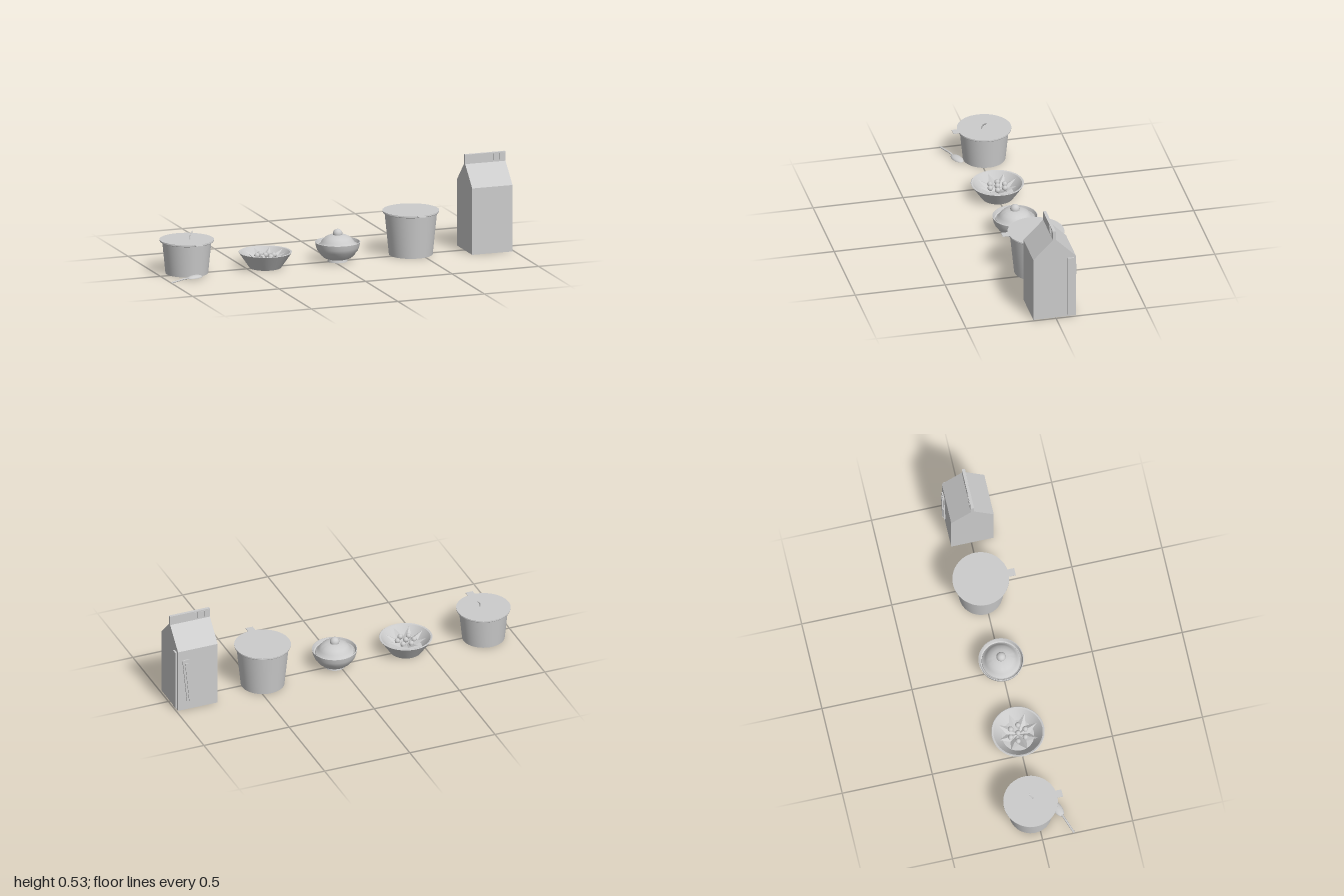
import * as THREE from 'three';
import { toCreasedNormals } from 'three/addons/utils/BufferGeometryUtils.js';

export function createModel() {
  const root = new THREE.Group();
  const grey = new THREE.MeshStandardMaterial({ color: 0xcccccc, side: THREE.DoubleSide });
  grey.name = 'plain grey';

  const group = (name, x = 0, z = 0) => {
    const g = new THREE.Group();
    g.name = name;
    g.position.set(x, 0, z);
    root.add(g);
    return g;
  };
  const add = (parent, name, geo, x = 0, y = 0, z = 0) => {
    const m = new THREE.Mesh(geo, grey);
    m.name = name;
    m.position.set(x, y, z);
    parent.add(m);
    return m;
  };
  const lathe = (pts) => toCreasedNormals(
    new THREE.LatheGeometry(pts.map(p => new THREE.Vector2(...p)), 48), 0.5);
  const box = (w, h, d) => new THREE.BoxGeometry(w, h, d);

  // Tapered pot with rolled rim, flat lid and pull tab
  function pot(name, x, z, h, rBottom, rTop, rLid, tabX, tabEnd) {
    const g = group(name, x, z);
    add(g, 'potBody', lathe([[0, 0.006], [rBottom - 0.006, 0.006], [rBottom - 0.004, 0],
      [rBottom, 0], [rTop, h - 0.006]]));
    const rim = new THREE.TorusGeometry(rLid - 0.006, 0.005, 8, 48);
    rim.rotateX(Math.PI / 2);
    add(g, 'potRim', rim, 0, h - 0.005, 0);
    add(g, 'lid', new THREE.CylinderGeometry(rLid, rLid, 0.003, 48), 0, h + 0.0005, 0);
    const start = rLid - 0.02;
    add(g, 'pullTab', box(0.042, 0.003, tabEnd - start), tabX, h + 0.0005, (start + tabEnd) / 2);
    return g;
  }
  pot('largePot', 0.454, -0.016, 0.243, 0.119, 0.143, 0.154, 0, 0.19);
  const small = pot('smallPot', -0.836, -0.03, 0.185, 0.116, 0.134, 0.148, 0.01, 0.178);

  // Curled strand rising from the small lid
  const curl = new THREE.CatmullRomCurve3([[0.012, 0.184, 0.018], [0.014, 0.202, 0.014],
    [0.021, 0.217, 0.006], [0.034, 0.228, -0.003]].map(p => new THREE.Vector3(...p)));
  add(small, 'curl', new THREE.TubeGeometry(curl, 16, 0.003, 8));

  // Spoon lying face down beside the small pot
  const spoon = group('spoon', -0.845, 0.118);
  spoon.rotation.y = 0.36;
  const dome = new THREE.SphereGeometry(1, 24, 10, 0, Math.PI * 2, 0, Math.PI / 2);
  dome.scale(0.05, 0.014, 0.026);
  add(spoon, 'spoonBowl', dome, 0, 0.006, 0);
  const handle = new THREE.CatmullRomCurve3([[-0.044, 0.010, 0], [-0.075, 0.013, 0],
    [-0.12, 0.007, 0], [-0.163, 0.003, 0]].map(p => new THREE.Vector3(...p)));
  const handleGeo = new THREE.TubeGeometry(handle, 16, 0.006, 8);
  handleGeo.scale(1, 0.7, 1);
  add(spoon, 'spoonHandle', handleGeo, 0, 0.002, 0);

  // Flared open bowl
  const salad = group('openBowl', -0.393, 0);
  add(salad, 'bowl', lathe([[0, 0], [0.086, 0], [0.145, 0.086], [0.142, 0.088],
    [0.134, 0.086], [0.088, 0.026], [0, 0.026]]));

  // Ring of folded leaves with berries
  const leaf = new THREE.BufferGeometry();
  leaf.setAttribute('position', new THREE.Float32BufferAttribute([
    0, 0.045, 0.005, -0.025, 0.050, 0.055, 0, 0.066, 0.058, 0.025, 0.050, 0.055, 0, 0.088, 0.112], 3));
  leaf.setIndex([0, 1, 2, 0, 2, 3, 1, 4, 2, 2, 4, 3]);
  const leafGeo = toCreasedNormals(leaf, 0.2);
  for (let i = 0; i < 8; i++) {
    add(salad, 'leaf', leafGeo).rotation.y = (i + 0.3) * Math.PI / 4;
  }
  const berry = new THREE.SphereGeometry(0.015, 14, 10);
  add(salad, 'berry', berry, 0, 0.068, 0);
  for (let i = 0; i < 6; i++) {
    const a = i * Math.PI / 3 + 0.2;
    add(salad, 'berry', berry, 0.046 * Math.cos(a), 0.066, 0.046 * Math.sin(a));
  }

  // Footed bowl with domed lid and round knob
  const tureen = group('coveredBowl', 0.025, 0);
  add(tureen, 'footedBowl', lathe([[0, 0.004], [0.045, 0.004], [0.047, 0], [0.055, 0],
    [0.052, 0.014], [0.075, 0.022], [0.092, 0.037], [0.099, 0.05], [0.11, 0.062],
    [0.118, 0.082], [0.123, 0.108], [0.119, 0.109], [0.112, 0.092], [0.1, 0.085]]));
  add(tureen, 'domedLid', lathe([[0.106, 0.086], [0.104, 0.093], [0.094, 0.1], [0.086, 0.114],
    [0.07, 0.132], [0.048, 0.143], [0.024, 0.148], [0, 0.149]]));
  add(tureen, 'knob', new THREE.SphereGeometry(0.026, 24, 16), 0, 0.153, 0);

  // Gable-top carton: profile across z, extruded along x
  const carton = group('carton');
  const x0 = 0.757, x1 = 0.99;
  const profile = new THREE.Shape([[-0.124, 0], [0.112, 0], [0.112, 0.37], [0.001, 0.481],
    [0.001, 0.533], [-0.015, 0.533], [-0.015, 0.481], [-0.124, 0.37]]
    .map(p => new THREE.Vector2(...p)));
  const cartonGeo = new THREE.ExtrudeGeometry(profile, { depth: x1 - x0, bevelEnabled: false });
  cartonGeo.rotateY(Math.PI / 2);
  add(carton, 'cartonBody', cartonGeo, x0, 0, 0);

  // Crimp ribs on both faces of the top fin
  for (let i = 0; i < 5; i++) {
    const off = 0.01 + i * 0.019;
    add(carton, 'crimpRib', box(0.009, 0.036, 0.004), x1 - off, 0.508, 0.0155);
    add(carton, 'crimpRib', box(0.009, 0.036, 0.004), x0 + off, 0.508, -0.0015);
  }

  // Side seam strip and slanted straw in its sleeve
  add(carton, 'sideSeam', box(0.01, 0.351, 0.036), 0.995, 0.1855, -0.0825);
  const straw = new THREE.Group();
  straw.name = 'straw';
  straw.position.set(0.932, 0.183, -0.112);
  straw.rotation.z = -0.1;
  carton.add(straw);
  add(straw, 'sleeve', box(0.04, 0.262, 0.014), 0, 0, 0);
  add(straw, 'strawTube', box(0.018, 0.24, 0.008), 0, -0.008, -0.009);

  return root;
}
